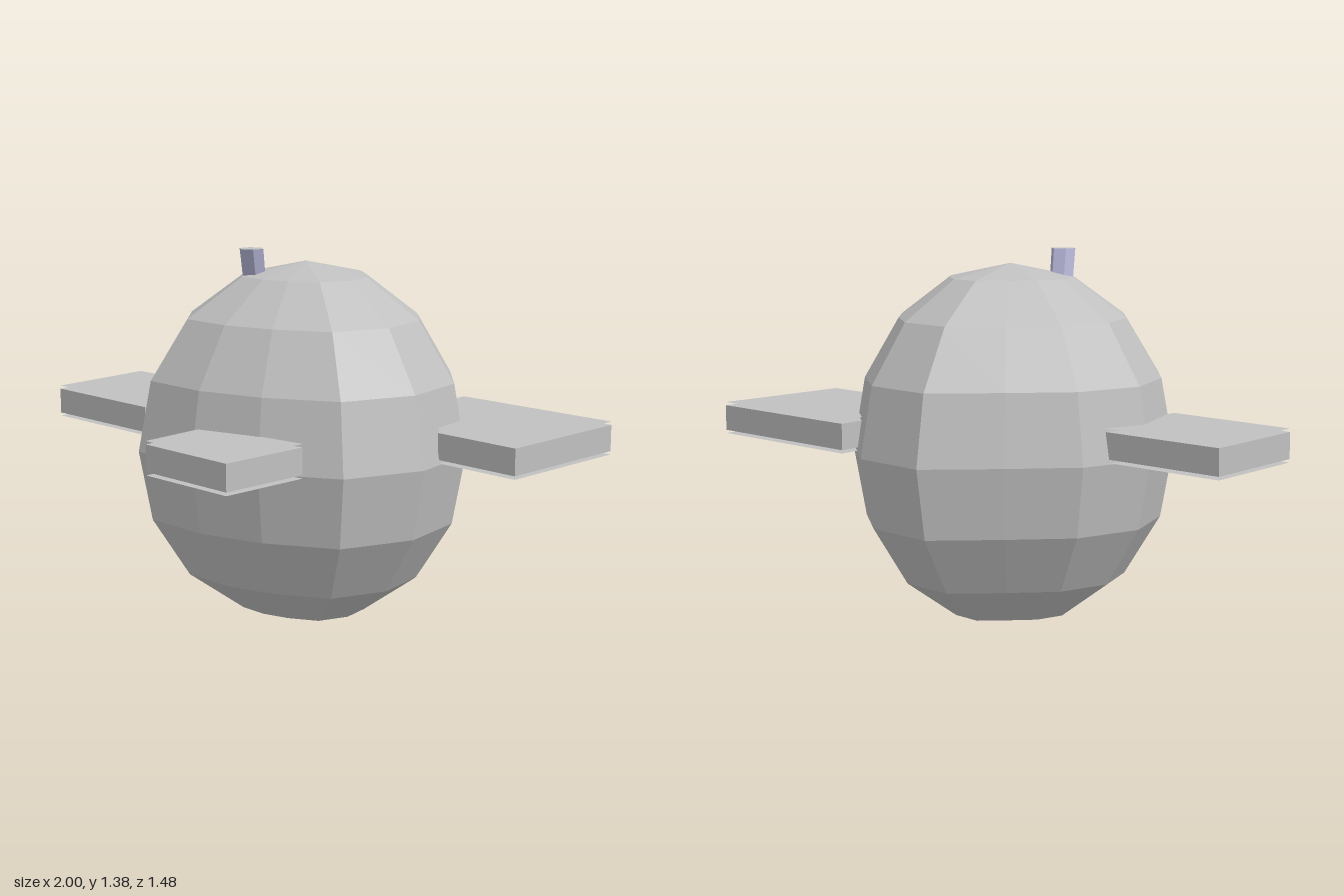
import * as THREE from 'three';

export function createModel() {
  const group = new THREE.Group();
  const grey = new THREE.MeshStandardMaterial({ color: 0xc0c0c0, flatShading: true, side: THREE.DoubleSide });
  grey.name = 'grey';
  const lavender = new THREE.MeshStandardMaterial({ color: 0xb2b2d4, flatShading: true });
  lavender.name = 'lavender';

  const add = (parent, name, geometry, material) => {
    const mesh = new THREE.Mesh(geometry, material);
    mesh.name = name;
    parent.add(mesh);
    return mesh;
  };

  // Body: faceted globe of 13 uneven columns and 8 rows
  const columns = [0.645, 0.65, 0.575, 0.575, 0.63, 0.6, 0.61, 0.577, 0.545, 0.643, 0.624, 0.577, 0.62];
  const n = columns.length;
  const globe = new THREE.SphereGeometry(0.667, n, 8, Math.PI);
  const p = globe.attributes.position;
  for (let i = 0; i < p.count; i++) {
    const k = columns[(n - (i % (n + 1))) % n] / 0.667;
    p.setX(i, p.getX(i) * k);
    p.setZ(i, p.getZ(i) * k);
  }
  add(group, 'body', globe, grey).position.set(0.05, 0.673, -0.06);

  // Fins: flat slabs with a thin skin just above and below
  const fins = {
    rightFin: [[-1, -0.04], [-0.91, 0.4], [-0.38, 0.36], [-0.45, -0.095]],
    frontFin: [[0.18, 0.737], [0.59, 0.705], [0.545, 0.353], [0.12, 0.44]],
    backFin: [[0.925, -0.745], [0.24, -0.68], [0.28, -0.5], [0.65, -0.165], [1, -0.19]],
  };
  for (const [name, corners] of Object.entries(fins)) {
    const fin = new THREE.Group();
    fin.name = name;
    const points = corners.map(([x, z]) => new THREE.Vector2(x, -z));
    const shape = new THREE.Shape(points);
    const slab = new THREE.ExtrudeGeometry(shape, { depth: 0.095, bevelEnabled: false });
    add(fin, 'slab', slab.rotateX(-Math.PI / 2), grey).position.y = 0.69;
    for (const [skin, y] of [['topSkin', 0.797], ['bottomSkin', 0.678]]) {
      add(fin, skin, new THREE.ShapeGeometry(shape).rotateX(-Math.PI / 2), grey).position.y = y;
    }
    group.add(fin);
  }

  // Stem: leaning hexagonal peg with a level top
  const peg = new THREE.CylinderGeometry(0.046, 0.044, 0.15, 6);
  const lean = new THREE.Matrix4().makeShear(0, 0, 0.22, 0.28, 0, 0);
  peg.applyMatrix4(lean);
  add(group, 'stem', peg, [lavender, grey, grey]).position.set(-0.037, 1.315, 0.113);

  return group;
}
